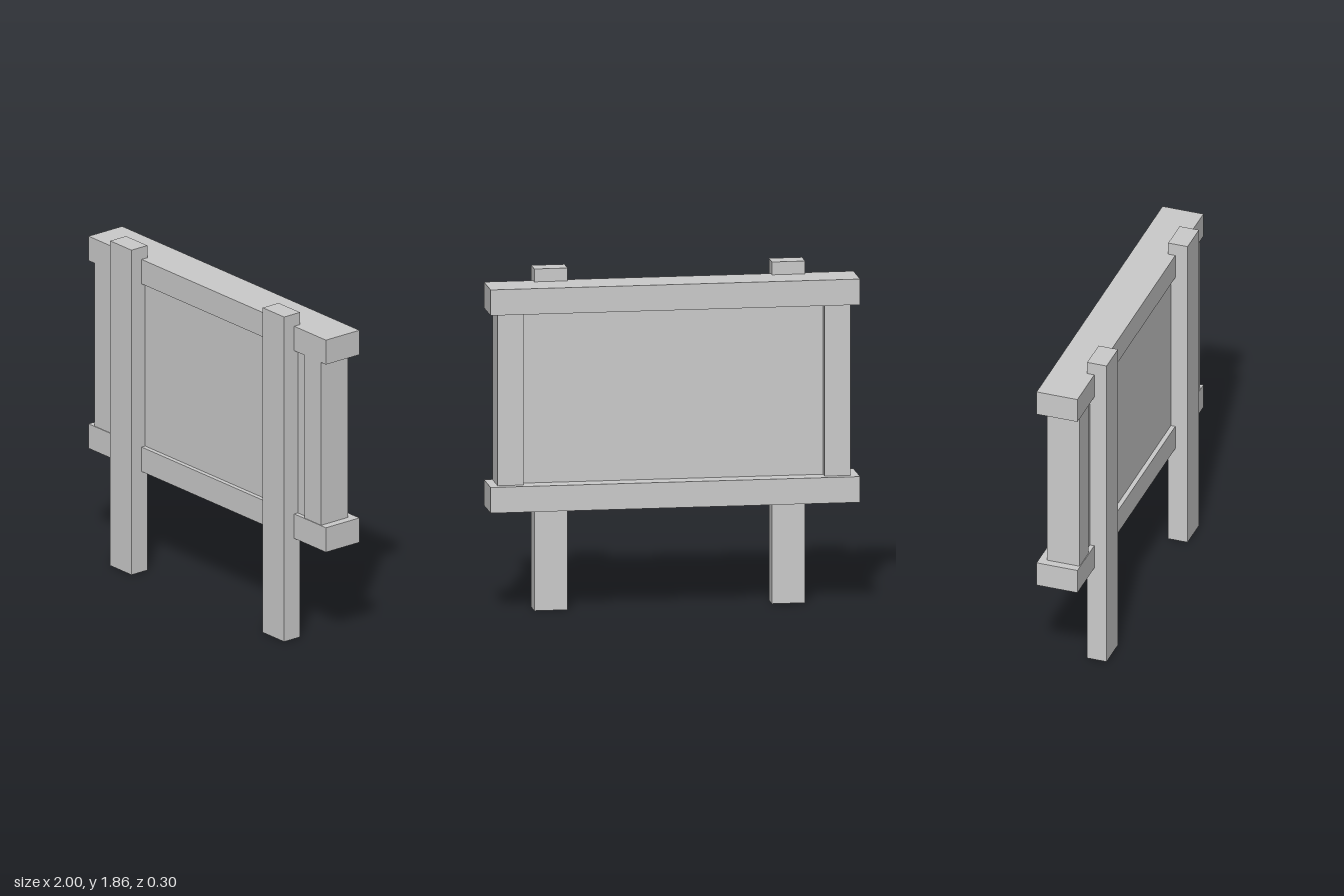
import * as THREE from 'three';

export function createModel() {
  const model = new THREE.Group();
  model.name = 'signBoard';
  const material = new THREE.MeshStandardMaterial({ color: 0xcccccc, flatShading: true });

  // Box given by its extents along each axis
  function addBox(name, [x0, x1], [y0, y1], [z0, z1]) {
    const mesh = new THREE.Mesh(new THREE.BoxGeometry(x1 - x0, y1 - y0, z1 - z0), material);
    mesh.position.set((x0 + x1) / 2, (y0 + y1) / 2, (z0 + z1) / 2);
    mesh.name = name;
    model.add(mesh);
  }

  // Horizontal rails above and below the panel
  addBox('bottomRail', [-1, 1], [0.575, 0.715], [-0.152, 0.08]);
  addBox('topRail', [-1, 1], [1.65, 1.79], [-0.152, 0.08]);

  // Recessed panel, running slightly into the frame
  addBox('panel', [-0.83, 0.83], [0.7, 1.665], [-0.055, 0.055]);

  // Mirrored side stiles and ground posts
  for (const [side, s] of [['left', 1], ['right', -1]]) {
    const mirrored = (a, b) => (s > 0 ? [a, b] : [-b, -a]);
    addBox(side + 'Stile', mirrored(0.815, 0.955), [0.705, 1.66], [-0.109, 0.076]);
    addBox(side + 'Post', mirrored(0.553, 0.733), [0, 1.86], [0.04, 0.15]);
  }
  return model;
}
